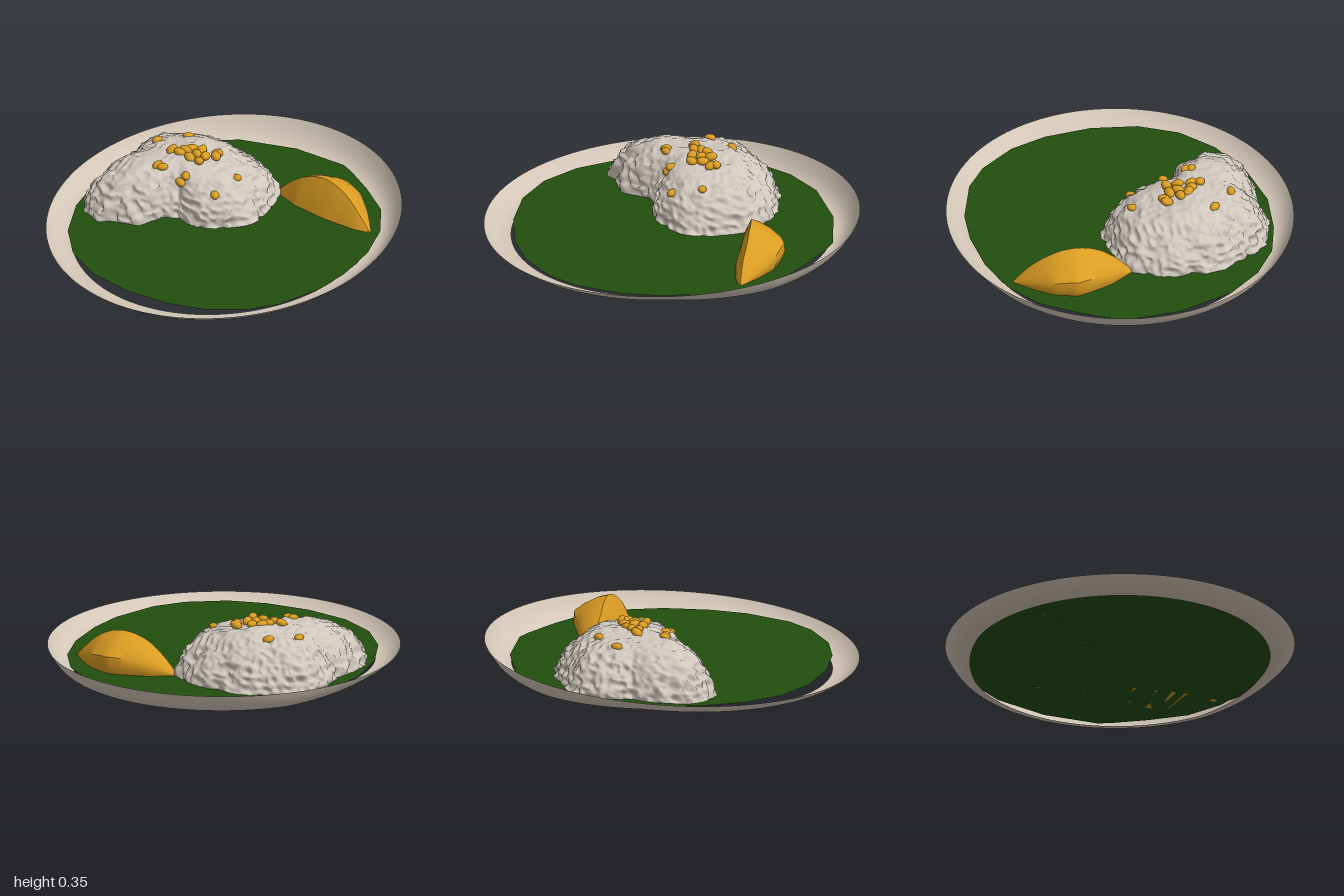
import * as THREE from 'three';
import { toCreasedNormals } from 'three/addons/utils/BufferGeometryUtils.js';

const TABLE = 0.055; // height of the green sauce

// Surface that is closed in u (0..1) and open in v (0..1)
function closedGrid(nu, nv, fn) {
  const pos = [], idx = [];
  for (let j = 0; j <= nv; j++) {
    for (let i = 0; i < nu; i++) pos.push(...fn(i / nu, j / nv));
  }
  for (let j = 0; j < nv; j++) {
    for (let i = 0; i < nu; i++) {
      const a = j * nu + i, b = j * nu + (i + 1) % nu;
      idx.push(a, b, a + nu, b, b + nu, a + nu);
    }
  }
  const g = new THREE.BufferGeometry();
  g.setAttribute('position', new THREE.Float32BufferAttribute(pos, 3));
  g.setIndex(idx);
  g.computeVertexNormals();
  return g;
}

// Piecewise interpolation through sorted [key, value] pairs
function lerpTable(table, k) {
  let i = 1;
  while (i < table.length - 1 && table[i][0] < k) i++;
  const [k0, v0] = table[i - 1], [k1, v1] = table[i];
  return THREE.MathUtils.lerp(v0, v1, THREE.MathUtils.clamp((k - k0) / (k1 - k0 || 1), 0, 1));
}

// Smooth value noise, -1..1
function hash(x, y, z) {
  let h = Math.imul(x, 374761393) ^ Math.imul(y, 668265263) ^ Math.imul(z, 2147483629);
  h = Math.imul(h ^ (h >>> 13), 1274126177);
  return ((h ^ (h >>> 16)) >>> 0) / 2147483648 - 1;
}
function noise(x, y, z) {
  const X = Math.floor(x), Y = Math.floor(y), Z = Math.floor(z);
  const s = (t) => t * t * (3 - 2 * t), L = THREE.MathUtils.lerp;
  const u = s(x - X), v = s(y - Y), w = s(z - Z);
  const row = (b, c) => L(hash(X, Y + b, Z + c), hash(X + 1, Y + b, Z + c), u);
  return L(L(row(0, 0), row(1, 0), v), L(row(0, 1), row(1, 1), v), w);
}

// Mound footprint as radius by angle about its centre
const CX = -0.36, CZ = -0.12;
const footprint = [
  [0.12, -0.17], [0.1, -0.3], [0.04, -0.45], [-0.08, -0.52], [-0.25, -0.55], [-0.42, -0.55],
  [-0.58, -0.47], [-0.7, -0.38], [-0.74, -0.22], [-0.71, -0.08], [-0.75, 0.12], [-0.74, 0.22],
  [-0.68, 0.31], [-0.57, 0.36], [-0.5, 0.3], [-0.36, 0.26], [-0.31, 0.12], [-0.24, 0.08],
  [-0.1, 0.1], [0.02, 0.03], [0.1, -0.06],
].map(([x, z]) => [Math.atan2(z - CZ, x - CX), Math.hypot(x - CX, z - CZ)]).sort((a, b) => a[0] - b[0]);
const first = footprint[0], last = footprint[footprint.length - 1];
const radii = [[last[0] - 2 * Math.PI, last[1]], ...footprint, [first[0] + 2 * Math.PI, first[1]]];

const domeHeight = (t) => TABLE + 0.265 * Math.pow(Math.max(0, 1 - t * t * t), 0.7);
function moundHeight(x, z) {
  const r = Math.hypot(x - CX, z - CZ);
  return domeHeight(r / lerpTable(radii, Math.atan2(z - CZ, x - CX)));
}

function moundGeometry() {
  return closedGrid(220, 80, (u, v) => {
    const a = (u * 2 - 1) * Math.PI, t = 1 - Math.pow(1 - v, 1.4);
    const r = t * lerpTable(radii, a), y = domeHeight(t);
    const x = CX + r * Math.cos(a), z = CZ + r * Math.sin(a);
    // Broad lumps on top, finer crumbs towards the edge
    const lump = noise(x * 9, y * 9, z * 9);
    const crumb = 0.35 - Math.abs(noise(x * 24 + 7, y * 24, z * 24));
    const grain = noise(x * 48, y * 48 + 3, z * 48);
    const d = 0.014 * lump + (0.008 + 0.03 * t * t) * crumb + 0.008 * t * grain;
    const out = d * t * t * 1.2;
    return [x + out * Math.cos(a), Math.max(TABLE - 0.003, y + d * (1 - t * 0.5)), z + out * Math.sin(a)];
  });
}

// Plate rim: dipping inner edge, curling up to a tilted lip
function rimGeometry() {
  const innerY = [[-1, 0.03], [-0.6, 0.018], [0, 0.04], [0.5, 0.02], [1, 0.002]];
  return closedGrid(128, 12, (u, v) => {
    const a = u * 2 * Math.PI, c = Math.cos(a), s = Math.sin(a);
    const lip = 0.108 - 0.045 * s, base = lerpTable(innerY, s);
    const rx = 0.79 + 0.13 * v, rz = 0.855 + 0.145 * v;
    return [rx * c, base + (lip - base) * Math.pow(v, 2.4), rz * s];
  });
}

function sauceGeometry() {
  const outline = [
    [-0.12, -0.855], [0.18, -0.86], [0.25, -0.83], [0.42, -0.73], [0.6, -0.6], [0.72, -0.42],
    [0.79, -0.2], [0.81, 0.05], [0.79, 0.25], [0.7, 0.5], [0.59, 0.64], [0.4, 0.77], [0.2, 0.83],
    [-0.05, 0.845], [-0.3, 0.8], [-0.5, 0.69], [-0.65, 0.52], [-0.76, 0.28], [-0.81, 0],
    [-0.78, -0.25], [-0.72, -0.45], [-0.6, -0.62], [-0.42, -0.76],
  ].map(([x, z]) => new THREE.Vector2(x, -z));
  return new THREE.ShapeGeometry(new THREE.Shape(outline)).rotateX(-Math.PI / 2).translate(0, TABLE, 0);
}

// Fruit wedge: cross-sections lofted along x
function wedgeGeometry() {
  const front = [[0.04, -0.43], [0.2, -0.375], [0.4, -0.35], [0.6, -0.35], [0.68, -0.37]];
  const back = [[0.04, -0.45], [0.18, -0.545], [0.3, -0.59], [0.38, -0.61], [0.5, -0.565], [0.6, -0.48], [0.68, -0.39]];
  // [depth from front, height], from the back foot over the top to the cut face
  const section = [[0.92, 0], [1, 0.25], [0.98, 0.5], [0.78, 0.72], [0.5, 0.92], [0.28, 1], [0.12, 0.55], [0, 0]];
  const g = closedGrid(section.length, 28, (u, v) => {
    const [d, h] = section[Math.round(u * section.length)];
    const x = 0.04 + 0.64 * v, s = (x - 0.36) / 0.32;
    const top = 0.195 * (1 - s * s);
    return [x, TABLE + h * top, THREE.MathUtils.lerp(lerpTable(front, x), lerpTable(back, x), d)];
  });
  return toCreasedNormals(g, 0.7);
}

export function createModel() {
  const model = new THREE.Group();
  model.name = 'plateOfFood';
  const mat = (name, color, side = THREE.FrontSide) => {
    const m = new THREE.MeshStandardMaterial({ color, side });
    m.name = name;
    return m;
  };
  const cream = mat('cream', 0xd3c6b7, THREE.DoubleSide);
  const rice = mat('riceWhite', 0xd0c7bd, THREE.DoubleSide);
  const green = mat('darkGreen', 0x224e0f, THREE.DoubleSide);
  const amber = mat('amber', 0xdb9d22);
  const add = (name, geometry, material, parent = model) => {
    const mesh = new THREE.Mesh(geometry, material);
    mesh.name = name;
    parent.add(mesh);
    return mesh;
  };

  add('plateRim', rimGeometry(), cream);
  add('greenSauce', sauceGeometry(), green);
  add('riceMound', moundGeometry(), rice);
  add('fruitWedge', wedgeGeometry(), amber);

  // Corn kernels scattered over the mound
  const kernels = new THREE.Group();
  kernels.name = 'cornKernels';
  model.add(kernels);
  const kernel = new THREE.SphereGeometry(0.03, 16, 10);
  const spots = [
    [-0.2, -0.23], [-0.19, -0.2], [-0.28, -0.2], [-0.33, -0.18], [-0.35, -0.15], [-0.28, -0.15],
    [-0.23, -0.16], [-0.41, -0.11], [-0.36, -0.11], [-0.29, -0.1], [-0.23, -0.1], [-0.4, 0.04],
    [-0.37, 0.04], [-0.26, 0.03], [-0.24, 0.01], [-0.56, -0.19], [-0.44, -0.31], [-0.03, -0.16], [-0.06, 0],
  ];
  spots.forEach(([x, z], i) => {
    const clustered = i < 11;
    const k = add('kernel', kernel, amber, kernels);
    k.position.set(x, moundHeight(x, z) + (clustered ? 0.006 : 0), z);
    k.rotation.set(0.3 * Math.sin(i * 3), i * 2.4, 0.3 * Math.cos(i * 5));
    k.scale.set(1.15, 0.75, 0.85).multiplyScalar(clustered ? 1 : 0.9);
  });
  return model;
}
